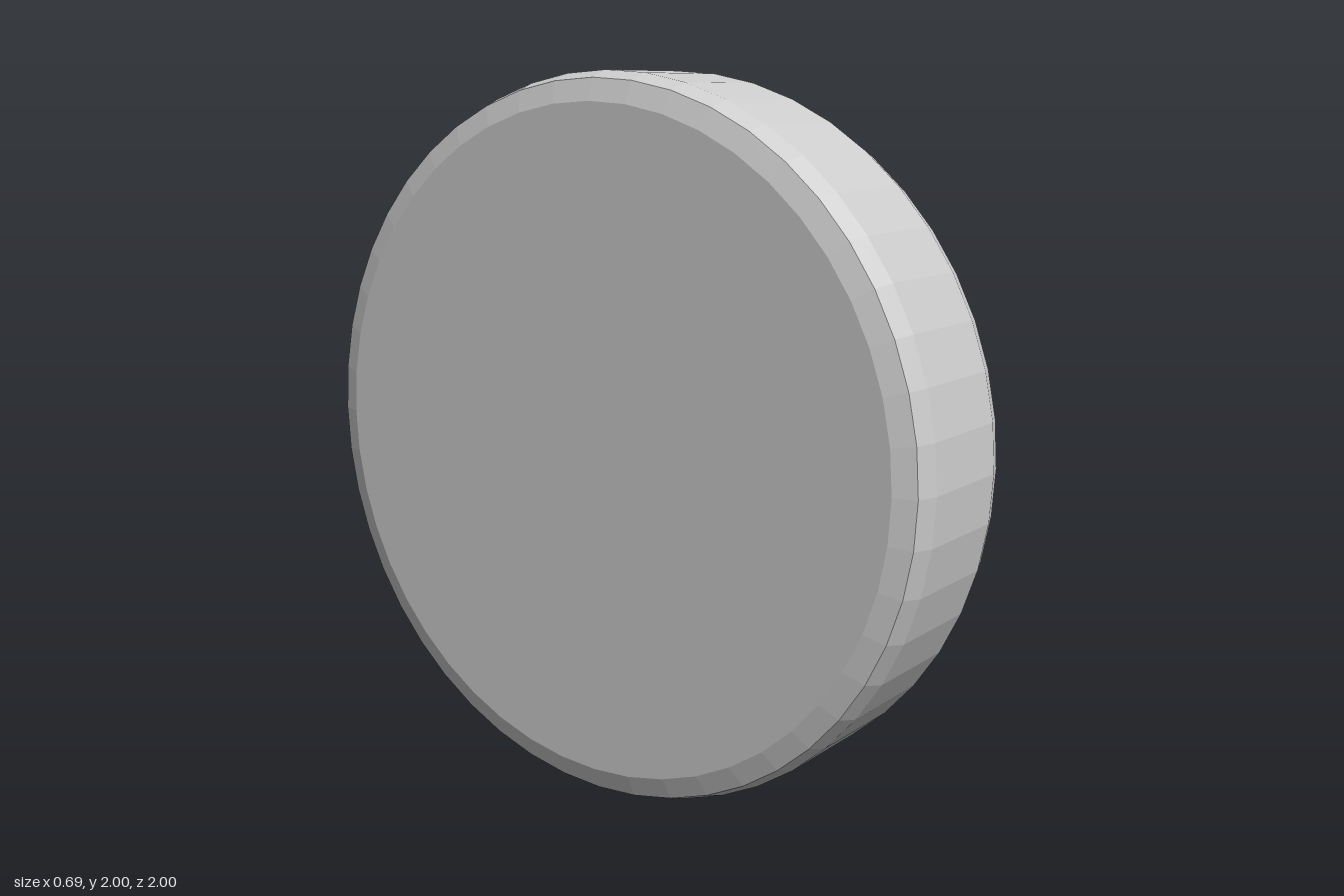
import * as THREE from 'three';

// Ring of a hexagon around the x axis: each corner is cut by two facets of length set by `cut`
function hexRing(x, apothem, cut) {
  const R = apothem / Math.cos(Math.PI / 6);
  const corner = [[R - cut / 2, -0.866 * cut], [R - 0.268 * cut, 0], [R - cut / 2, 0.866 * cut]];
  const ring = [];
  for (let k = 0; k < 6; k++) {
    const a = Math.PI / 6 + k * Math.PI / 3;
    for (const [u, v] of corner) {
      ring.push([x, u * Math.cos(a) - v * Math.sin(a), u * Math.sin(a) + v * Math.cos(a)]);
    }
  }
  return ring;
}

// Joins rings along +x and closes both ends
function loft(rings) {
  const n = rings[0].length;
  const pos = [];
  const tri = (a, b, c) => pos.push(...a, ...b, ...c);
  const first = rings[0], last = rings[rings.length - 1];
  for (let j = 0; j < n; j++) {
    const k = (j + 1) % n;
    for (let i = 0; i < rings.length - 1; i++) {
      const p = rings[i], q = rings[i + 1];
      tri(p[j], p[k], q[k]);
      tri(p[j], q[k], q[j]);
    }
    tri([last[0][0], 0, 0], last[j], last[k]);
    tri([first[0][0], 0, 0], first[k], first[j]);
  }
  const geo = new THREE.BufferGeometry();
  geo.setAttribute('position', new THREE.Float32BufferAttribute(pos, 3));
  geo.computeVertexNormals();
  return geo;
}

export function createModel() {
  const group = new THREE.Group();
  const metal = new THREE.MeshStandardMaterial({ color: 0xcccccc, flatShading: true });
  metal.name = 'light grey';

  // Round disc with two-step bevelled rims, axis along x
  const profile = [
    [0, -0.345], [0.92, -0.345], [0.98, -0.325], [1, -0.27],
    [1, 0.035], [0.98, 0.09], [0.92, 0.11], [0, 0.11],
  ].map(([r, h]) => new THREE.Vector2(r, h));
  const disc = new THREE.Mesh(new THREE.LatheGeometry(profile, 48).rotateZ(-Math.PI / 2), metal);
  disc.name = 'disc';
  disc.position.y = 1;
  group.add(disc);

  // Bevelled hexagonal head, its base sunk slightly into the disc
  const head = new THREE.Mesh(loft([
    hexRing(0.09, 0.46, 0),
    hexRing(0.11, 0.513, 0.04),
    hexRing(0.163, 0.532, 0.07),
    hexRing(0.272, 0.532, 0.07),
    hexRing(0.325, 0.513, 0.04),
    hexRing(0.345, 0.46, 0),
  ]), metal);
  head.name = 'hexHead';
  head.position.y = 1;
  group.add(head);

  return group;
}
